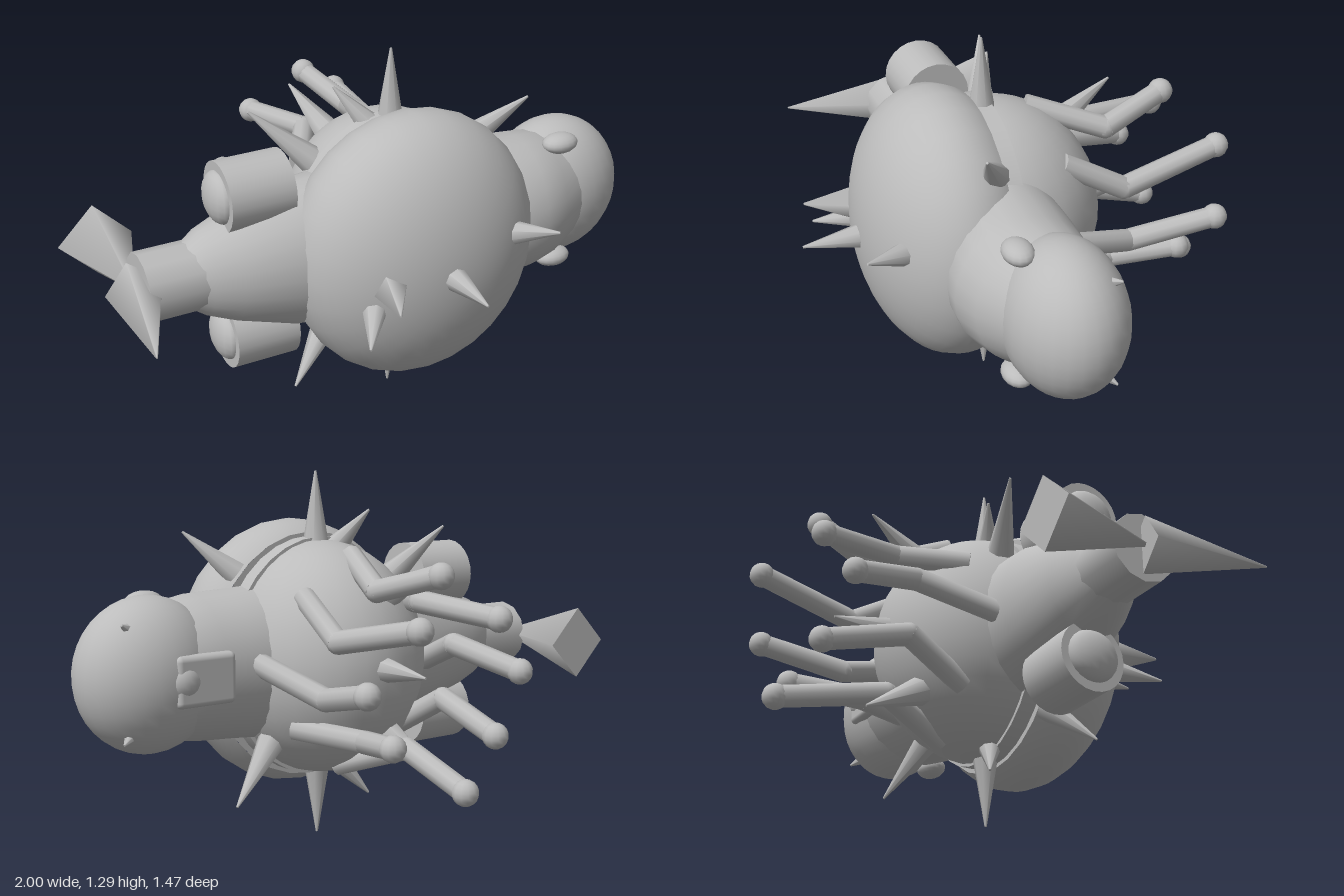
import * as THREE from 'three';
import { RoundedBoxGeometry } from 'three/addons/geometries/RoundedBoxGeometry.js';

const V = (x, y, z) => new THREE.Vector3(x, y, z);
const UP = V(0, 1, 0);
const CX = 0.07, CY = 0.645; // centre of the round body

// Closed loops of vertices joined along x: [x, centre z, half height, half depth]
function loft(sections, sides) {
  const pos = [], idx = [];
  sections.forEach(([x, z, ry, rz], i) => {
    for (let j = 0; j < sides; j++) {
      const a = (j / sides) * Math.PI * 2;
      pos.push(x, CY + ry * Math.cos(a), z + rz * Math.sin(a));
      if (i === 0) continue;
      const k = (j + 1) % sides, p = (i - 1) * sides, q = i * sides;
      idx.push(p + j, p + k, q + j, q + j, p + k, q + k);
    }
  });
  const geo = new THREE.BufferGeometry();
  geo.setAttribute('position', new THREE.Float32BufferAttribute(pos, 3));
  geo.setIndex(idx);
  geo.computeVertexNormals();
  return geo;
}

export function createModel() {
  const model = new THREE.Group();
  const grey = new THREE.MeshStandardMaterial({ color: 0xbcbcbc });
  grey.name = 'lightGrey';

  const add = (name, geo, pos = V(0, 0, 0)) => {
    const mesh = new THREE.Mesh(geo, grey);
    mesh.name = name;
    mesh.position.copy(pos);
    model.add(mesh);
    return mesh;
  };
  const ellipsoid = (name, pos, rx, ry, rz, seg = 24) =>
    add(name, new THREE.SphereGeometry(1, seg, Math.ceil(seg * 0.67)), pos).scale.set(rx, ry, rz);
  // tapered rod from a to b
  const rod = (name, a, b, ra, rb, sides = 10) => {
    const dir = b.clone().sub(a);
    const mid = a.clone().add(b).multiplyScalar(0.5);
    const mesh = add(name, new THREE.CylinderGeometry(rb, ra, dir.length(), sides), mid);
    mesh.quaternion.setFromUnitVectors(UP, dir.normalize());
  };
  const spike = (a, b, r = 0.045, sides = 8) => rod('spike', a, b, r, 0.004, sides);

  // Spindle running from tail to neck
  add('spindleBody', loft([
    [-0.71, 0.11, 0.1, 0.085], [-0.64, 0.11, 0.15, 0.125], [-0.55, 0.115, 0.188, 0.16],
    [-0.35, 0.12, 0.25, 0.21], [-0.15, 0.12, 0.27, 0.215], [0.25, 0.12, 0.27, 0.215],
    [0.45, 0.135, 0.255, 0.235], [0.55, 0.14, 0.25, 0.235], [0.65, 0.125, 0.235, 0.22],
    [0.8, 0.1, 0.18, 0.165],
  ], 24));

  // Front shell, an open dome closed by a disc
  const cut = Math.acos(-0.12 / 0.295);
  const dome = new THREE.SphereGeometry(1, 28, 18, 0, Math.PI * 2, 0, cut).rotateX(Math.PI / 2);
  add('frontShell', dome, V(CX, CY, 0.25)).scale.set(0.445, 0.475, 0.295);
  const disc = new THREE.CircleGeometry(1, 28).rotateY(Math.PI);
  add('shellBack', disc, V(CX, CY, 0.13)).scale.set(0.406, 0.434, 1);

  // Rear ball and belt
  ellipsoid('rearBall', V(CX, CY, 0.08), 0.36, 0.41, 0.39, 28);
  const belt = new THREE.CylinderGeometry(1, 1, 0.075, 32).rotateX(Math.PI / 2);
  add('belt', belt, V(CX, CY, 0.108)).scale.set(0.375, 0.42, 1);

  // Head
  ellipsoid('head', V(0.75, CY + 0.003, 0.095), 0.25, 0.26, 0.198, 28);
  for (const s of [1, -1]) {
    ellipsoid('eye', V(0.685, CY + s * 0.225, 0.22), 0.068, 0.036, 0.05, 16);
    spike(V(0.84, CY + s * 0.16, 0.02), V(0.9, CY + s * 0.19, -0.025), 0.03, 6);
  }
  add('facePlate', new RoundedBoxGeometry(0.22, 0.17, 0.05, 3, 0.02), V(0.64, CY, -0.083));
  ellipsoid('mouthBulb', V(0.71, CY, -0.075), 0.06, 0.06, 0.045, 16);

  // Tail stub with two four-sided fins
  rod('tailStub', V(-0.85, CY, 0.11), V(-0.62, CY, 0.11), 0.118, 0.118, 12);
  rod('tailFin', V(-0.87, CY, -0.27), V(-0.87, CY, 0.12), 0.13, 0.003, 4);
  rod('tailFin', V(-0.865, CY, 0.1), V(-0.945, CY, 0.52), 0.095, 0.003, 4);

  // Side thrusters with domed ends
  for (const s of [1, -1]) {
    const y = CY + s * 0.255;
    rod('thruster', V(-0.565, y, 0.108), V(-0.34, y, 0.108), 0.12, 0.12, 24);
    ellipsoid('thrusterCap', V(-0.56, y, 0.108), 0.05, 0.09, 0.095, 16);
  }

  // Spikes around the belt
  for (const s of [1, -1]) {
    const at = (x, y, z) => V(x, CY + s * y, z);
    spike(at(CX, 0.4, 0.095), at(CX, 0.645, 0.095));
    spike(at(0.01, 0.37, 0.075), at(-0.1, 0.51, 0.01));
    spike(V(CX + s * 0.29, CY + s * 0.3, 0.16), V(CX + s * 0.445, CY + s * 0.445, 0.25));
    spike(V(CX - s * 0.25, CY + s * 0.26, 0.01), V(CX - s * 0.445, CY + s * 0.445, -0.07), 0.05);
    spike(at(0, 0.22, -0.17), at(-0.055, 0.355, -0.43), 0.06);
  }
  // Spikes on the front dome and the back
  spike(V(CX, CY, 0.52), V(CX, CY, 0.73));
  spike(V(-0.14, CY, 0.47), V(-0.2, CY, 0.655), 0.065, 4);
  spike(V(-0.18, 0.565, 0.45), V(-0.28, 0.52, 0.61));
  spike(V(0.33, 0.71, 0.45), V(0.42, 0.76, 0.61));
  spike(V(CX, CY, -0.24), V(CX, CY, -0.5), 0.055);

  // Eight bent legs reaching backward
  const footZ = [-0.625, -0.695, -0.57, -0.635, -0.585, -0.625, -0.695, -0.57];
  footZ.forEach((fz, i) => {
    const a = (i / 8) * Math.PI * 2, odd = i % 2;
    const at = (r, twist, z) => V(
      CX + r * Math.cos(a) - twist * Math.sin(a),
      CY + r * Math.sin(a) + twist * Math.cos(a), z);
    const hip = at(odd ? 0.31 : 0.36, 0.03, odd ? -0.11 : -0.07);
    const knee = at(odd ? 0.24 : 0.27, odd ? -0.075 : -0.065, -0.33);
    const foot = at(odd ? 0.27 : 0.335, 0, fz);
    rod('upperLeg', hip, knee, 0.039, 0.039);
    rod('lowerLeg', knee, foot, 0.039, 0.037);
    ellipsoid('knee', knee, 0.039, 0.039, 0.039, 10);
    ellipsoid('foot', foot, 0.044, 0.044, 0.044, 12);
  });
  return model;
}
